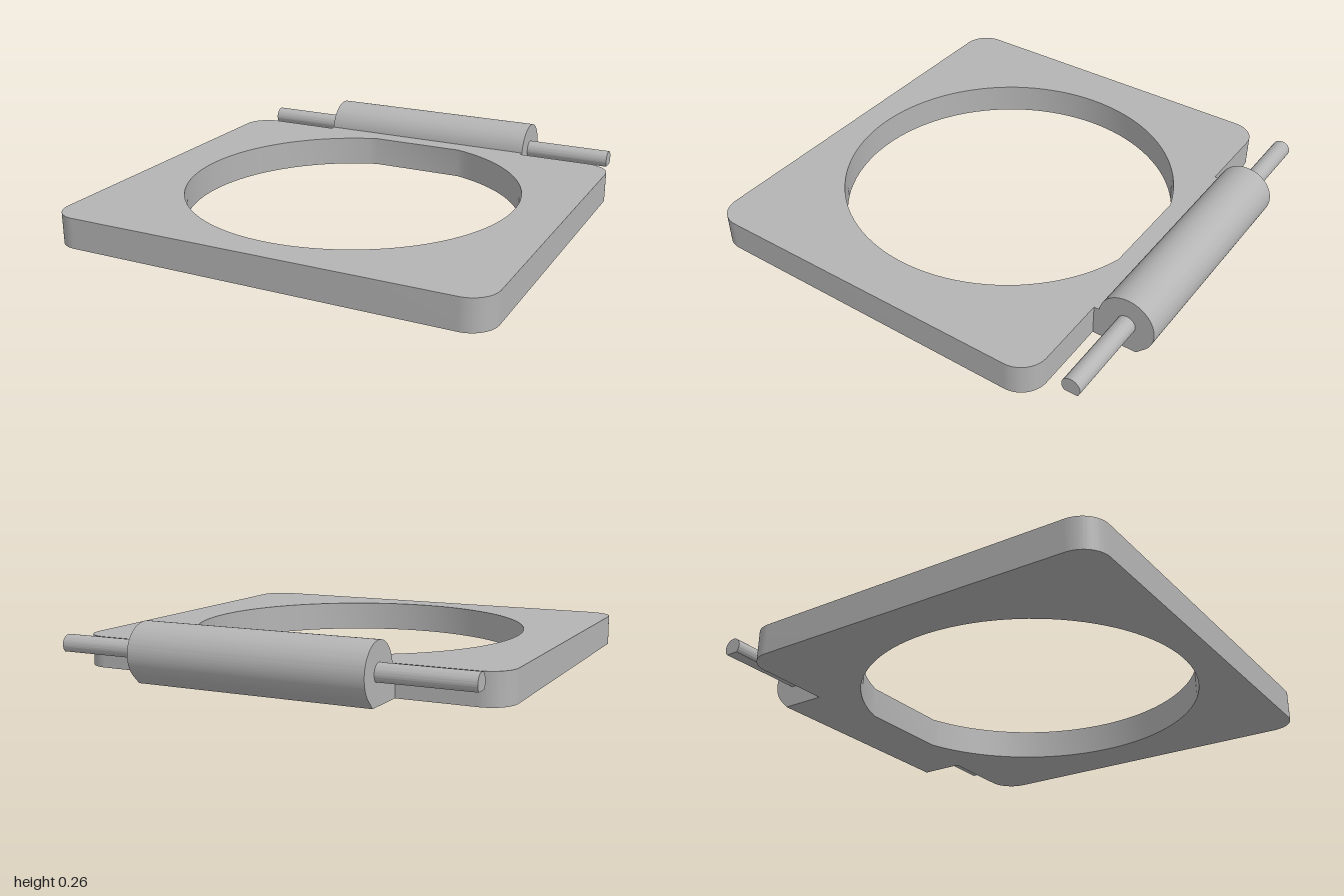
import * as THREE from 'three';
import { toCreasedNormals } from 'three/addons/utils/BufferGeometryUtils.js';

const THICK = 0.14;              // plate thickness
const AXIS = { u: 0.872, y: 0.128 }; // hinge axis, u = distance behind centre
const BARREL_R = 0.128, PIN_R = 0.042;

function extrude(shape, depth) {
  return new THREE.ExtrudeGeometry(shape, { depth, bevelEnabled: false, curveSegments: 48 });
}

// Extrudes a (-z, y) profile along x, centred on x = 0
function extrudeAcross(shape, length) {
  return extrude(shape, length).translate(0, 0, -length / 2).rotateY(Math.PI / 2);
}

// Rounded square outline with a round opening that is cut flat at the hinge side
function plateShape() {
  const w = 1, front = -0.995, back = 0.72, r = 0.12;
  const s = new THREE.Shape();
  s.absarc(w - r, front + r, r, -Math.PI / 2, 0, false);
  s.absarc(w - r, back - r, r, 0, Math.PI / 2, false);
  s.absarc(-w + r, back - r, r, Math.PI / 2, Math.PI, false);
  s.absarc(-w + r, front + r, r, Math.PI, Math.PI * 1.5, false);
  s.closePath();
  const hole = new THREE.Path();
  const holeR = 0.77, centre = -0.085, flat = 0.65;
  const a = Math.asin((flat - centre) / holeR);
  hole.absarc(0, centre, holeR, a, Math.PI - a, true);
  hole.closePath();
  s.holes.push(hole);
  return s;
}

// Barrel profile: round top, 45 degree slope at the back, flat base joining the plate
function barrelShape() {
  const s = new THREE.Shape();
  s.moveTo(0.72, 0);
  s.lineTo(AXIS.u + BARREL_R * (Math.SQRT2 - 1), 0);
  const end = Math.PI - Math.asin((THICK - AXIS.y) / BARREL_R);
  s.absarc(AXIS.u, AXIS.y, BARREL_R, -Math.PI / 4, end, false);
  s.lineTo(0.72, THICK);
  s.closePath();
  return s;
}

// Teardrop pin profile, point down
function pinShape() {
  const s = new THREE.Shape();
  s.moveTo(AXIS.u, AXIS.y - PIN_R * Math.SQRT2);
  s.absarc(AXIS.u, AXIS.y, PIN_R, -Math.PI / 4, Math.PI * 1.25, false);
  s.closePath();
  return s;
}

export function createModel() {
  const group = new THREE.Group();
  group.name = 'hingedFrame';
  const grey = new THREE.MeshStandardMaterial({ color: 0xb4b4b4 });
  grey.name = 'grey';

  const add = (name, geometry) => {
    const mesh = new THREE.Mesh(toCreasedNormals(geometry, 0.5), grey);
    mesh.name = name;
    group.add(mesh);
  };

  add('framePlate', extrude(plateShape(), THICK).rotateX(-Math.PI / 2));
  add('hingeBarrel', extrudeAcross(barrelShape(), 1.074));

  // One pin stub on each side of the barrel
  for (const side of [1, -1]) {
    const length = 0.945 - 0.537;
    add(side > 0 ? 'leftHingePin' : 'rightHingePin',
      extrudeAcross(pinShape(), length).translate(side * (0.537 + length / 2), 0, 0));
  }
  return group;
}
